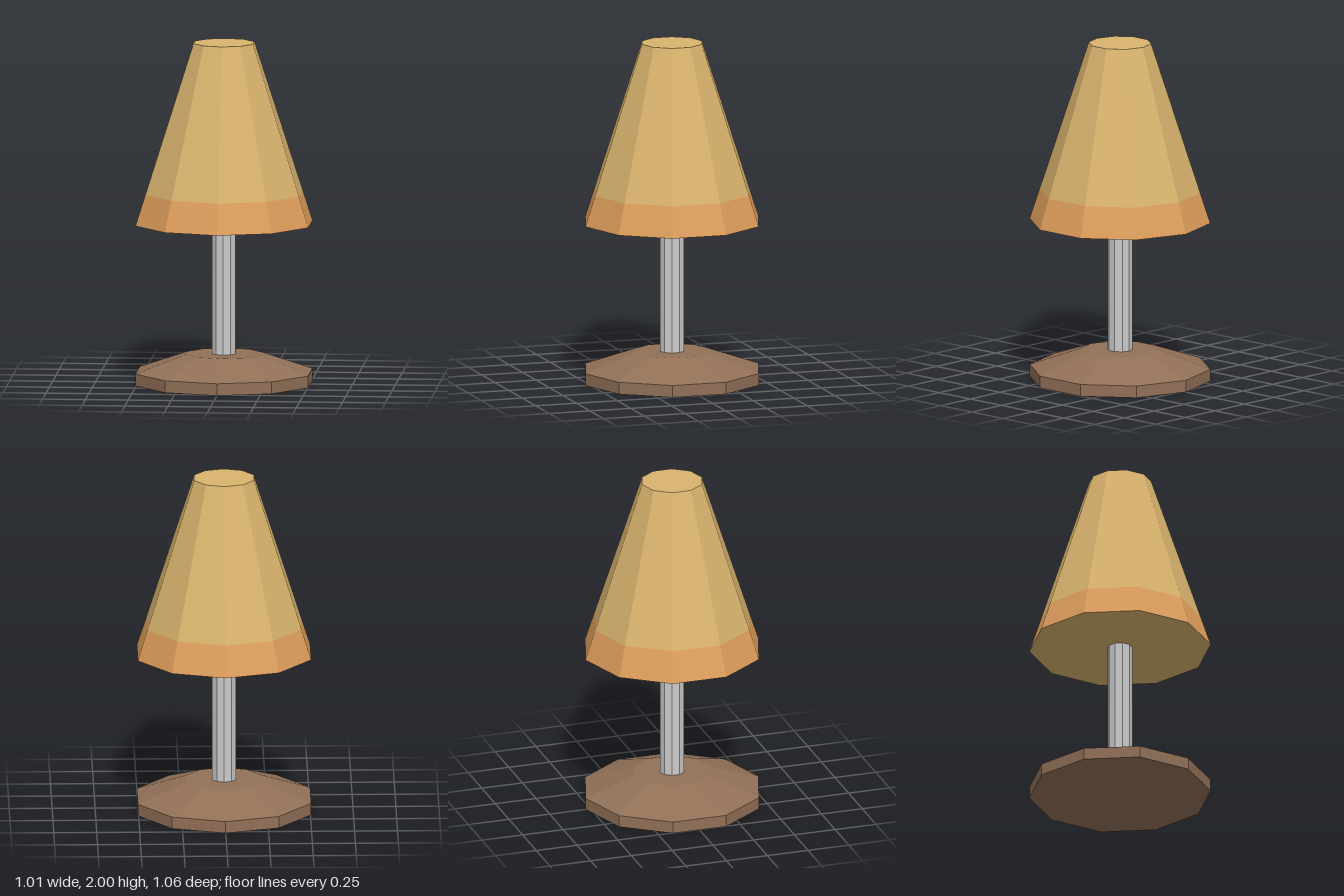
import * as THREE from 'three';

const SIDES = 10;

export function createModel() {
  const lamp = new THREE.Group();
  lamp.name = 'tableLamp';

  const material = (color) => new THREE.MeshStandardMaterial({ color, flatShading: true });
  const wood = material(0x917057);
  const metal = material(0xcccccc);
  const fabric = material(0xdab46e);
  const trim = material(0xde9e5c);

  const add = (name, geometry, mat) => {
    const mesh = new THREE.Mesh(geometry, mat);
    mesh.name = name;
    lamp.add(mesh);
    return mesh;
  };
  // Faceted profile of [radius, height] points turned about the y axis
  const turned = (name, points, mat) =>
    add(name, new THREE.LatheGeometry(points.map(([r, y]) => new THREE.Vector2(r, y)), SIDES), mat);

  // Foot: short rim, sloped top and small flat centre
  turned('base', [[0, 0], [0.53, 0], [0.53, 0.07], [0.23, 0.175], [0, 0.175]], wood);

  // Pole running from the foot to the shade
  const pole = add('pole', new THREE.CylinderGeometry(0.073, 0.073, 0.765, SIDES, 1, true), metal);
  pole.position.y = 0.175 + 0.765 / 2;

  // Shade: tapered cone with a closed top
  turned('shade', [[0.471, 1.12], [0.183, 2], [0, 2]], fabric);

  // Coloured band flush with the lower edge of the shade
  turned('shadeBand', [[0.53, 0.94], [0.471, 1.12]], trim);

  // Closed underside of the shade
  turned('shadeUnderside', [[0, 0.94], [0.53, 0.94]], fabric);

  return lamp;
}
